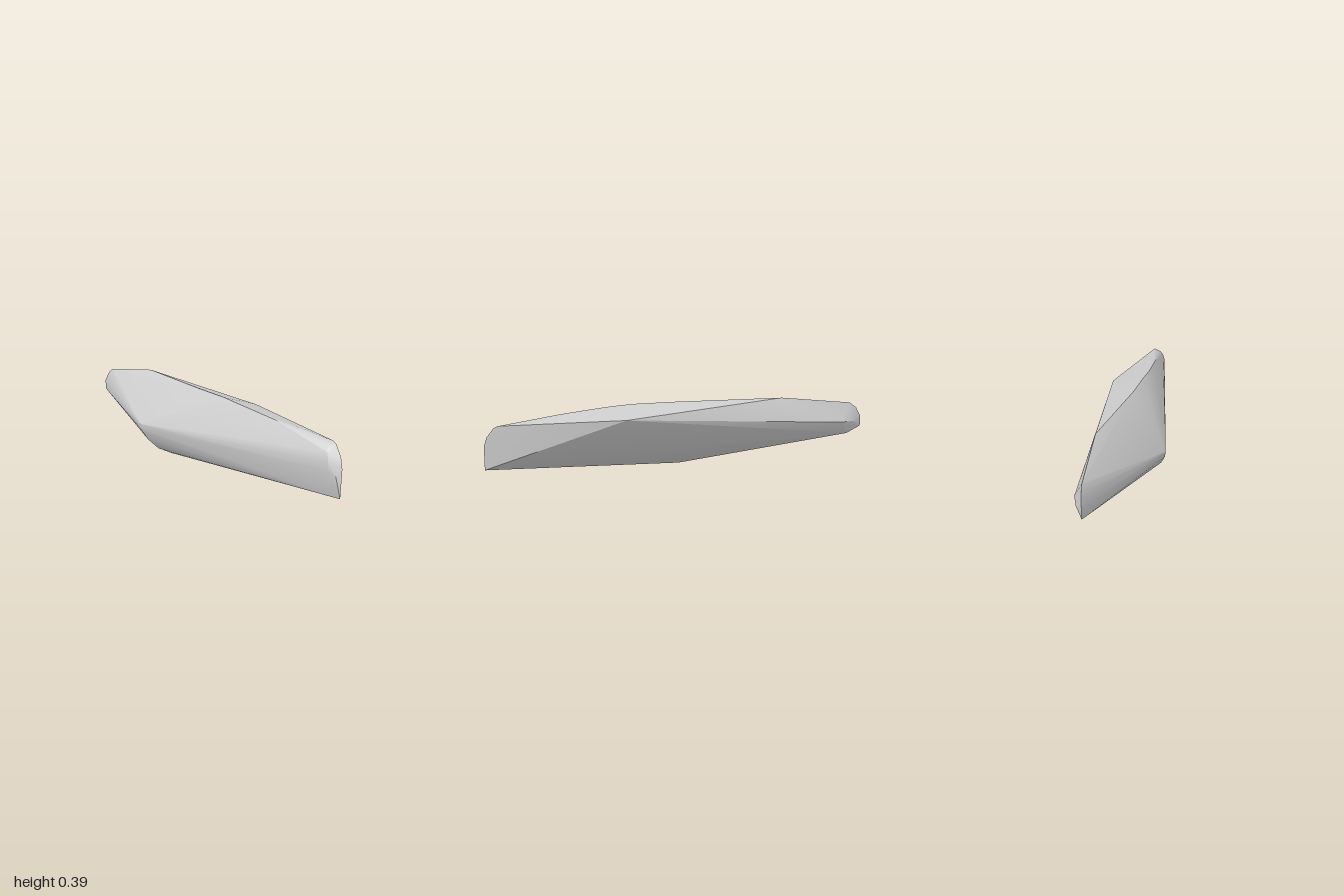
import * as THREE from 'three';
import { ConvexGeometry } from 'three/addons/geometries/ConvexGeometry.js';
import { toCreasedNormals } from 'three/addons/utils/BufferGeometryUtils.js';

// Corners of the shard, grouped by region: [x, y, z]
const tailEnd = [
  [-1, 0.27, -0.27], [-1, 0.215, -0.27], [-0.97, 0.32, -0.27], [-0.93, 0.35, -0.265],
  [-0.86, 0.25, -0.3], [-0.94, 0.25, -0.295], [-0.91, 0.18, -0.275],
];
const topRidge = [
  [-0.54, 0.39, -0.195], [0, 0.367, 0.025], [0.22, 0.357, 0.1],
  [0.33, 0.345, 0.137], [0.48, 0.325, 0.175], [0.6, 0.308, 0.203],
];
const backCorner = [[0.31, 0.303, -0.07]];
const frontKeel = [
  [-0.3, 0.155, 0.17], [-0.3, 0.125, 0.166], [-0.26, 0.07, 0.153],
  [-0.2, 0.025, 0.135], [-0.12, 0.008, 0.12], [-0.05, 0.003, 0.097],
];
const noseEnd = [
  [1, 0.015, 0.285], [1, 0.15, 0.275], [0.985, 0.2, 0.262], [0.95, 0.25, 0.243], [0.93, 0.262, 0.232],
  [0.98, 0.12, 0.297], [0.94, 0.14, 0.3], [0.94, 0.18, 0.298], [0.93, 0.22, 0.287], [0.92, 0.245, 0.268],
];

export function createModel() {
  const group = new THREE.Group();
  group.name = 'stoneShard';

  // One closed, faceted body with softened edges where facets nearly align
  const points = [tailEnd, topRidge, backCorner, frontKeel, noseEnd].flat().map((p) => new THREE.Vector3(...p));
  const geometry = toCreasedNormals(new ConvexGeometry(points), THREE.MathUtils.degToRad(30));
  geometry.computeBoundingBox();
  const { min, max } = geometry.boundingBox;
  geometry.translate(-(min.x + max.x) / 2, -min.y, -(min.z + max.z) / 2);

  const shard = new THREE.Mesh(geometry, new THREE.MeshStandardMaterial({ color: 0xcccccc }));
  shard.name = 'shardBody';
  group.add(shard);
  return group;
}
